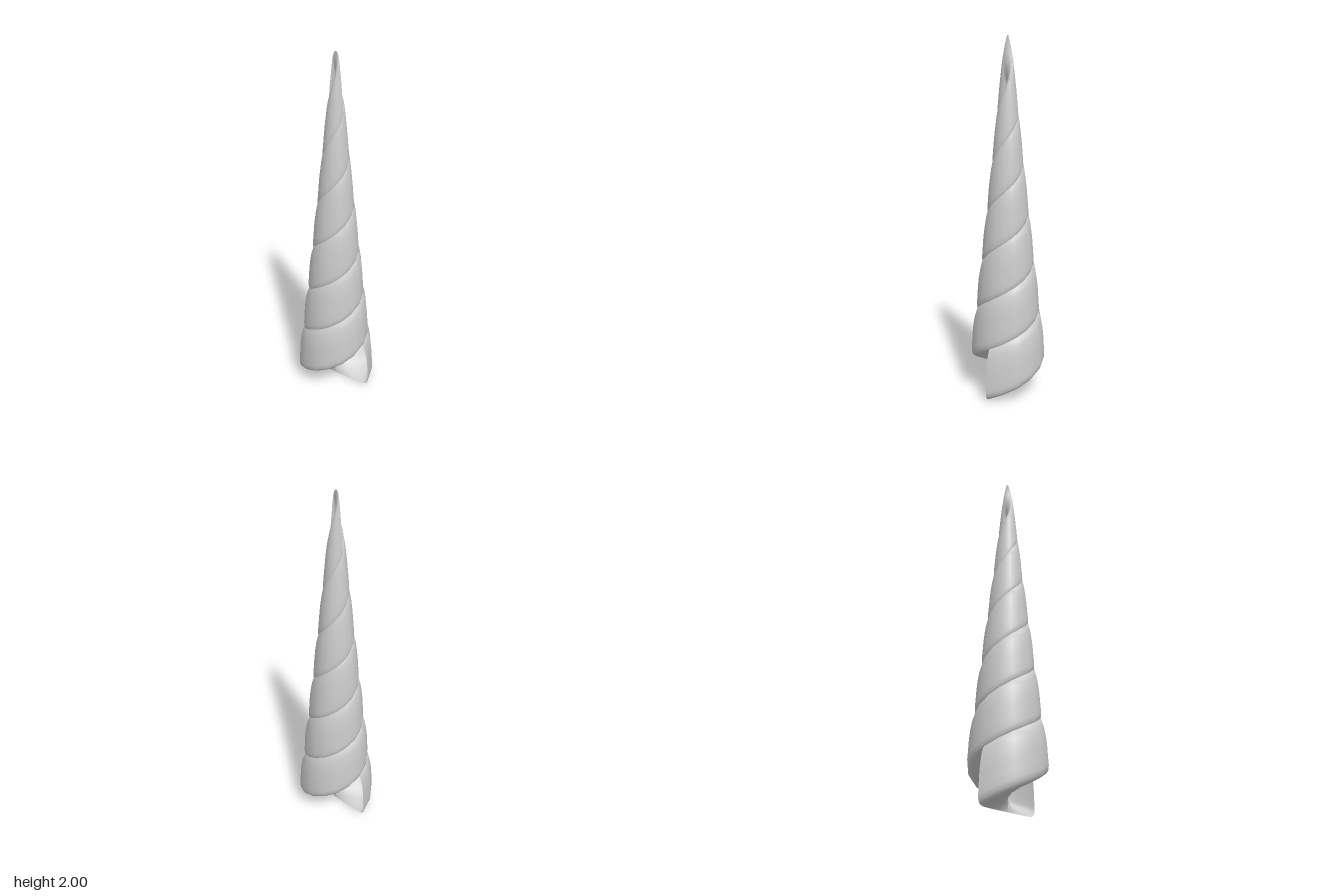
import * as THREE from 'three';

const HALF_TURNS = 6, STEPS = 8;      // eight facets per half turn
const RISE = 1.668 / HALF_TURNS;      // climb per half turn

// Rounded strand section from the axis out and back: [share of the taper radius, height]
const PROFILE = [
  [0, 0], [0.3, 0], [0.6, 0], [0.82, 0.002], [0.91, 0.009], [0.965, 0.025], [0.99, 0.05],
  [1, 0.09], [1.02, 0.15], [1.025, 0.2], [1.01, 0.25], [0.97, 0.285], [0.88, 0.308],
  [0.65, 0.322], [0.35, 0.33], [0, 0.332],
];

// Overall taper of the horn
const taper = (y) => 0.243 - 0.125 * y + 0.006 * y * y;

// One hollow strand: the section swept up a tapering helix, open at both ends
function strandGeometry() {
  const positions = [], index = [];
  const n = PROFILE.length, turns = HALF_TURNS * STEPS;
  for (let i = 0; i <= turns; i++) {
    const angle = (i / STEPS) * Math.PI;
    for (const [share, height] of PROFILE) {
      const y = (i / STEPS) * RISE + height;
      const r = share * taper(y);
      positions.push(r * Math.cos(angle), y, -r * Math.sin(angle));
    }
  }
  for (let i = 0; i < turns; i++) {
    for (let j = 0; j < n - 1; j++) {
      const a = i * n + j, b = a + n;
      index.push(a, b, a + 1, b, b + 1, a + 1);
    }
  }
  const geometry = new THREE.BufferGeometry();
  geometry.setAttribute('position', new THREE.Float32BufferAttribute(positions, 3));
  geometry.setIndex(index);
  geometry.computeVertexNormals();
  return geometry;
}

export function createModel() {
  const horn = new THREE.Group();
  horn.name = 'spiralHorn';
  const material = new THREE.MeshStandardMaterial({ color: 0xcccccc, side: THREE.DoubleSide });
  const geometry = strandGeometry();

  // Two identical strands wound around each other, half a turn apart
  ['leftStrand', 'rightStrand'].forEach((name, i) => {
    const strand = new THREE.Mesh(geometry, material);
    strand.name = name;
    strand.rotation.y = i * Math.PI;
    horn.add(strand);
  });
  return horn;
}
